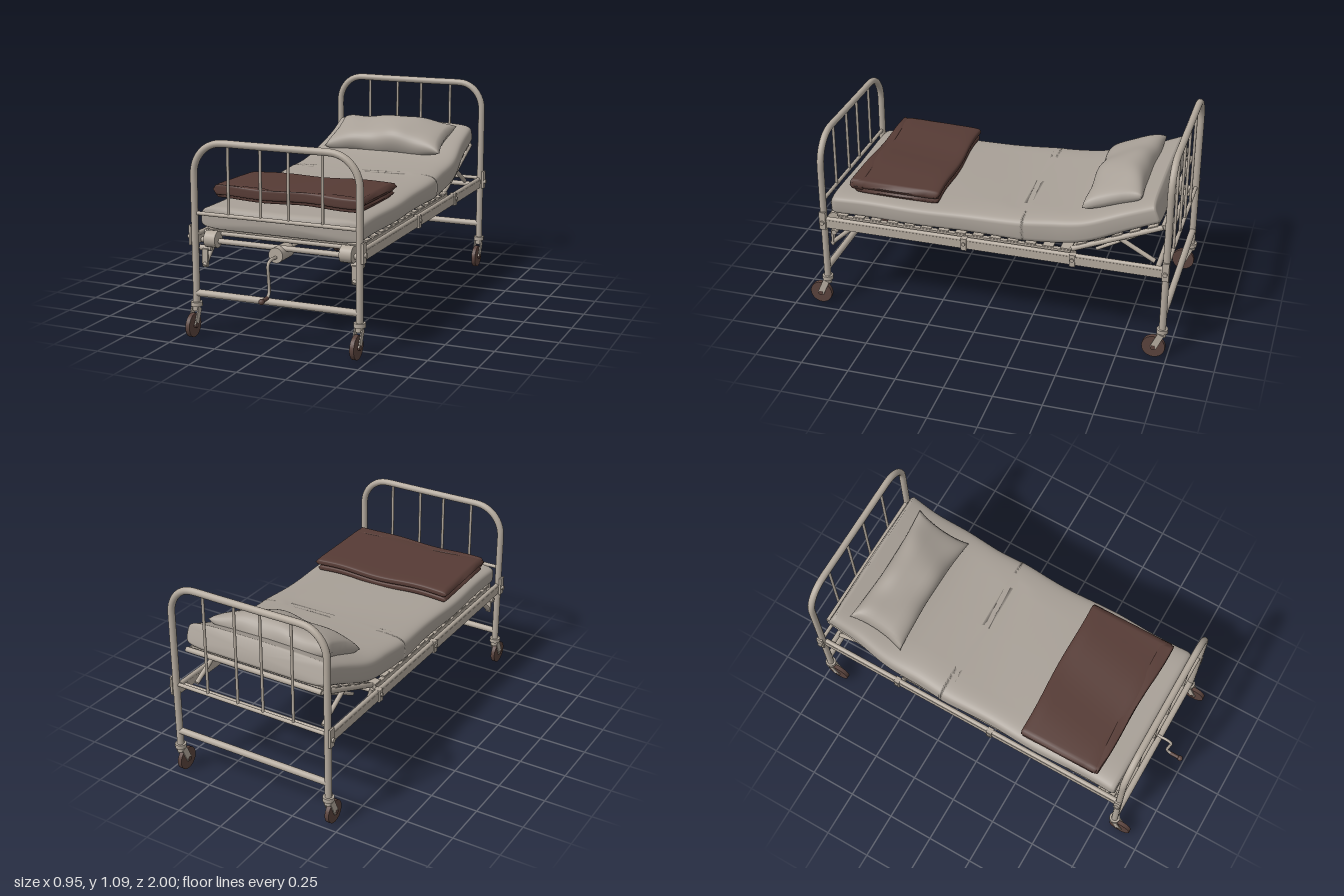
import * as THREE from 'three';
import { mergeVertices } from 'three/addons/utils/BufferGeometryUtils.js';

const mat = (name, color) => {
  const m = new THREE.MeshStandardMaterial({ color });
  m.name = name;
  return m;
};

export function createModel() {
  const enamel = mat('enamel', 0xb3a99d);
  const linen = mat('linen', 0xa8a097);
  const wool = mat('wool', 0x563b35);
  const rubber = mat('rubber', 0x5a433d);
  linen.side = wool.side = THREE.DoubleSide;

  const bed = new THREE.Group();
  bed.name = 'hospitalBed';
  const V = (x, y, z) => new THREE.Vector3(x, y, z);

  const add = (name, geo, m, parent = bed) => {
    const mesh = new THREE.Mesh(geo, m);
    mesh.name = name;
    parent.add(mesh);
    return mesh;
  };
  const box = (name, w, h, d, x, y, z, m = enamel, parent = bed) => {
    const b = add(name, new THREE.BoxGeometry(w, h, d), m, parent);
    b.position.set(x, y, z);
    return b;
  };
  // straight round bar between two points
  const rod = (name, a, b, r, m = enamel, parent = bed, seg = 14) => {
    const c = add(name, new THREE.CylinderGeometry(r, r, a.distanceTo(b), seg), m, parent);
    c.position.copy(a).add(b).multiplyScalar(0.5);
    c.quaternion.setFromUnitVectors(V(0, 1, 0), b.clone().sub(a).normalize());
    return c;
  };
  // smooth surface from a grid of cross-sections, u along the length, v round the ring
  const surface = (nu, nv, fn) => {
    const pos = [], idx = [];
    for (let i = 0; i <= nu; i++)
      for (let j = 0; j < nv; j++) pos.push(...fn(i / nu, (j / nv) * Math.PI * 2).toArray());
    for (let i = 0; i < nu; i++)
      for (let j = 0; j < nv; j++) {
        const a = i * nv + j, b = i * nv + (j + 1) % nv;
        idx.push(a, a + nv, b, b, a + nv, b + nv);
      }
    let g = new THREE.BufferGeometry();
    g.setAttribute('position', new THREE.Float32BufferAttribute(pos, 3));
    g.setIndex(idx);
    g = mergeVertices(g, 1e-5);
    g.computeVertexNormals();
    return g;
  };
  // cosine or sine squared off towards a rounded rectangle
  const soft = (t, p) => Math.sign(t) * Math.pow(Math.abs(t), p);

  // end frames: arch, rods, rails and castors
  const endFrame = (name, z, hw, top, rx, ry, railY, crossY) => {
    const g = new THREE.Group();
    g.name = name;
    bed.add(g);
    const pts = [V(-hw, 0.15, z), V(-hw, 0.45, z), V(-hw, top - ry - 0.05, z)];
    for (let i = 0; i <= 8; i++) {
      const a = (i / 8) * Math.PI / 2;
      pts.push(V(-hw + rx * (1 - Math.cos(a)), top - ry + ry * Math.sin(a), z));
    }
    pts.push(V(-0.15, top, z));
    const path = new THREE.CatmullRomCurve3(
      [...pts, ...pts.slice().reverse().map(p => V(-p.x, p.y, p.z))], false, 'centripetal');
    add('archTube', new THREE.TubeGeometry(path, 120, 0.018, 14), enamel, g);
    rod('lowerRodRail', V(-hw, railY, z), V(hw, railY, z), 0.01, enamel, g);
    rod('legCrossTube', V(-hw, crossY, z), V(hw, crossY, z), 0.0175, enamel, g);
    for (const x of [-0.25, -0.077, 0.07, 0.248])
      rod('uprightRod', V(x, railY, z), V(x, top, z), 0.0075, enamel, g, 10);
    for (const s of [-1, 1]) {
      const x = s * hw;
      // corner bracket and bolt
      box('cornerBracket', 0.012, 0.1, 0.035, x + s * 0.02, 0.51, z, enamel, g);
      rod('bracketBolt', V(x, 0.5, z), V(x + s * 0.036, 0.5, z), 0.012, enamel, g);
      // castor
      rod('castorCollar', V(x, 0.148, z), V(x, 0.17, z), 0.029, enamel, g, 20);
      rod('castorStem', V(x, 0.125, z), V(x, 0.15, z), 0.02, enamel, g);
      const cz = z + 0.04;
      rod('castorTyre', V(x - 0.011, 0.06, cz), V(x + 0.011, 0.06, cz), 0.06, rubber, g, 28);
      rod('castorHub', V(x - 0.022, 0.06, cz), V(x + 0.022, 0.06, cz), 0.013, rubber, g);
      for (const k of [-1, 1]) {
        const plate = box('castorFork', 0.006, 0.09, 0.034, x + k * 0.018, 0.098, z + 0.022, enamel, g);
        plate.rotation.x = -0.42;
      }
    }
  };
  endFrame('footFrame', 0.83, 0.437, 0.974, 0.155, 0.16, 0.62, 0.216);
  endFrame('headFrame', -0.97, 0.441, 1.07, 0.135, 0.15, 0.52, 0.248);

  // side rails with clamps, deck edges and foot stays
  for (const s of [-1, 1]) {
    box('sideRail', 0.022, 0.045, 1.78, s * 0.437, 0.487, -0.07);
    rod('sideRailTube', V(s * 0.435, 0.512, -0.95), V(s * 0.435, 0.512, 0.82), 0.012);
    for (const z of [0.065, -0.5]) {
      box('railClamp', 0.034, 0.066, 0.03, s * 0.438, 0.49, z);
      rod('clampBolt', V(s * 0.44, 0.495, z), V(s * 0.462, 0.495, z), 0.01);
    }
    box('deckEdge', 0.025, 0.02, 1.24, s * 0.4, 0.513, 0.14);
    rod('footRoller', V(s * 0.33, 0.487, 0.79), V(s * 0.392, 0.487, 0.79), 0.042, enamel, bed, 20);
    rod('footStay', V(s * 0.4, 0.35, 0.81), V(s * 0.4, 0.45, 0.7), 0.012);
    box('stayPlate', 0.03, 0.09, 0.012, s * 0.4, 0.39, 0.8);
    rod('stayPin', V(s * 0.375, 0.435, 0.78), V(s * 0.437, 0.435, 0.78), 0.014);
    // backrest supports
    rod('backrestSlide', V(s * 0.38, 0.449, -0.15), V(s * 0.38, 0.449, -0.52), 0.01);
    rod('slideHanger', V(s * 0.38, 0.449, -0.5), V(s * 0.4, 0.51, -0.5), 0.01);
    rod('backrestEdge', V(s * 0.385, 0.52, -0.48), V(s * 0.385, 0.715, -0.935), 0.014);
    rod('backrestStrut', V(s * 0.37, 0.615, -0.71), V(s * 0.37, 0.51, -0.9), 0.012);
    rod('backrestLink', V(s * 0.35, 0.52, -0.6), V(s * 0.35, 0.63, -0.8), 0.009);
  }
  rod('footCrossTube', V(-0.43, 0.476, 0.78), V(0.43, 0.476, 0.78), 0.014);
  rod('footUpperTube', V(-0.43, 0.508, 0.75), V(0.43, 0.508, 0.75), 0.012);
  rod('middleCrossTube', V(-0.43, 0.49, -0.48), V(0.43, 0.49, -0.48), 0.014);
  rod('headCrossTube', V(-0.43, 0.49, -0.92), V(0.43, 0.49, -0.92), 0.014);
  rod('backrestTopBar', V(-0.39, 0.715, -0.935), V(0.39, 0.715, -0.935), 0.014);

  // deck and backrest slats
  for (let i = 0; i < 14; i++) box('deckSlat', 0.82, 0.008, 0.055, 0, 0.526, 0.74 - i * 0.092);
  for (let i = 0; i < 5; i++) {
    const t = (i + 0.6) / 5.2;
    const slat = box('backrestSlat', 0.78, 0.008, 0.055, 0, 0.535 + 0.195 * t, -0.48 - 0.455 * t);
    slat.rotation.x = 0.4;
  }

  // crank mechanism
  rod('crankGearbox', V(0, 0.45, 0.7), V(0, 0.45, 0.83), 0.038, enamel, bed, 24);
  rod('crankShaft', V(0, 0.45, 0.83), V(0, 0.475, -0.48), 0.009);
  const crankPath = new THREE.CatmullRomCurve3([V(0, 0.44, 0.82), V(0, 0.44, 0.89), V(0, 0.425, 0.912),
    V(0, 0.36, 0.908), V(0, 0.285, 0.905), V(0, 0.268, 0.92), V(0, 0.264, 0.96)]);
  add('crankHandle', new THREE.TubeGeometry(crankPath, 40, 0.008, 10), enamel);
  rod('crankGrip', V(0, 0.264, 0.925), V(0, 0.262, 0.985), 0.01, rubber);
  add('crankKnob', new THREE.SphereGeometry(0.015, 16, 12), rubber).position.set(0, 0.262, 0.985);

  // mattress: top and bottom profiles lofted with rounded ends
  const curve = list => new THREE.CatmullRomCurve3(list.map(([z, y]) => V(0, y, z)));
  const topLine = curve([[0.8, 0.645], [0.5, 0.652], [0.2, 0.658], [-0.1, 0.665], [-0.35, 0.685],
    [-0.53, 0.715], [-0.72, 0.785], [-0.9, 0.858]]);
  const baseLine = curve([[0.8, 0.53], [0.5, 0.53], [0.2, 0.53], [-0.1, 0.53], [-0.36, 0.532],
    [-0.55, 0.568], [-0.76, 0.655], [-0.945, 0.738]]);
  const mattress = surface(90, 48, (u, a) => {
    const t = Math.min(1, Math.max(0, (u - 0.05) / 0.9));
    const end = Math.min(1, u / 0.05, (1 - u) / 0.05);
    const round = Math.sqrt(1 - (1 - end) ** 2);
    // the first and last rings close in towards the middle
    const k = 0.03 * (1 - Math.cos((1 - end) * Math.PI / 2));
    const tt = u < 0.5 ? Math.max(0, t + (1 - end) * -0.02 + 0.02) : Math.min(1, t - 0.02);
    const top = topLine.getPoint(tt), base = baseLine.getPoint(tt);
    const thick = end < 1 ? (end <= 0 ? 0 : 0.45 + 0.55 * round) : 1;
    const hw = (0.43 - 0.025 * Math.max(0, t - 0.65) / 0.35 - 0.005 * Math.sin(t * 23)) *
      (end <= 0 ? 0 : 0.95 + 0.05 * round);
    const q = soft(Math.sin(a), 0.42) * thick;
    const p = base.lerp(top, 0.5 + 0.5 * q);
    p.x = hw * soft(Math.cos(a), 0.25);
    if (u > 0.5) { p.z -= k * 0.5; p.y += k * 0.2; }
    // creases in the sheet
    if (q > 0.3) {
      const dx = p.x - 0.14, dz = p.z + 0.13;
      const along = dx * 0.6 - dz * 0.8, across = dx * 0.8 + dz * 0.6;
      p.y += 0.014 * Math.exp(-((across / 0.03) ** 2) - (along / 0.12) ** 2)
        - 0.012 * Math.exp(-(((across - 0.06) / 0.04) ** 2) - (along / 0.1) ** 2)
        + 0.003 * Math.sin(p.x * 9 + p.z * 6);
    }
    return p;
  });
  add('mattress', mattress, linen);

  // pillow: puffed middle, pinched corners
  const pillow = add('pillow', surface(48, 40, (u, a) => {
    const s = u * 2 - 1, c = soft(Math.cos(a), 0.6);
    const side = 1 - s * s;
    const z = c * (0.138 + 0.018 * s * s);
    const x = s * (0.325 + 0.022 * c * c);
    const puff = 0.088 * Math.pow(Math.max(0, side), 0.42) * (1 + 0.1 * Math.sin(s * 5 + 0.4));
    return V(x, puff * soft(Math.sin(a), 0.9) + 0.006 * Math.sin(s * 9) * c, z);
  }), linen);
  pillow.position.set(0, 0.788, -0.665);
  pillow.rotation.x = 0.36;

  // folded blanket: two soft layers and a rolled fold at the foot side
  const layer = (name, y, half, z0, z1, x0, x1) => add(name, surface(50, 40, (u, a) => {
    const end = Math.min(1, u / 0.025, (1 - u) / 0.025);
    const x = x0 + (x1 - x0) * u;
    const mid = (z0 + z1) / 2 + 0.004 * Math.sin(u * 9);
    const hz = (z1 - z0) / 2 + 0.018 * (u - 0.5);
    const shrink = end <= 0 ? 0 : 0.6 + 0.4 * Math.sqrt(end);
    const c = soft(Math.cos(a), 0.22), sn = soft(Math.sin(a), 0.5);
    return V(x, y + half * shrink * sn + 0.004 * Math.sin(u * 11 + c) + 0.003 * c,
      mid + hz * c * (end <= 0 ? 0.97 : 1));
  }), wool);
  const blanket = new THREE.Group();
  blanket.name = 'foldedBlanket';
  bed.add(blanket);
  blanket.add(layer('blanketLowerFold', 0.673, 0.019, 0.23, 0.668, -0.415, 0.375));
  blanket.add(layer('blanketUpperFold', 0.707, 0.021, 0.225, 0.68, -0.42, 0.388));
  blanket.add(layer('blanketRolledEdge', 0.704, 0.026, 0.635, 0.688, -0.417, 0.385));

  return bed;
}
